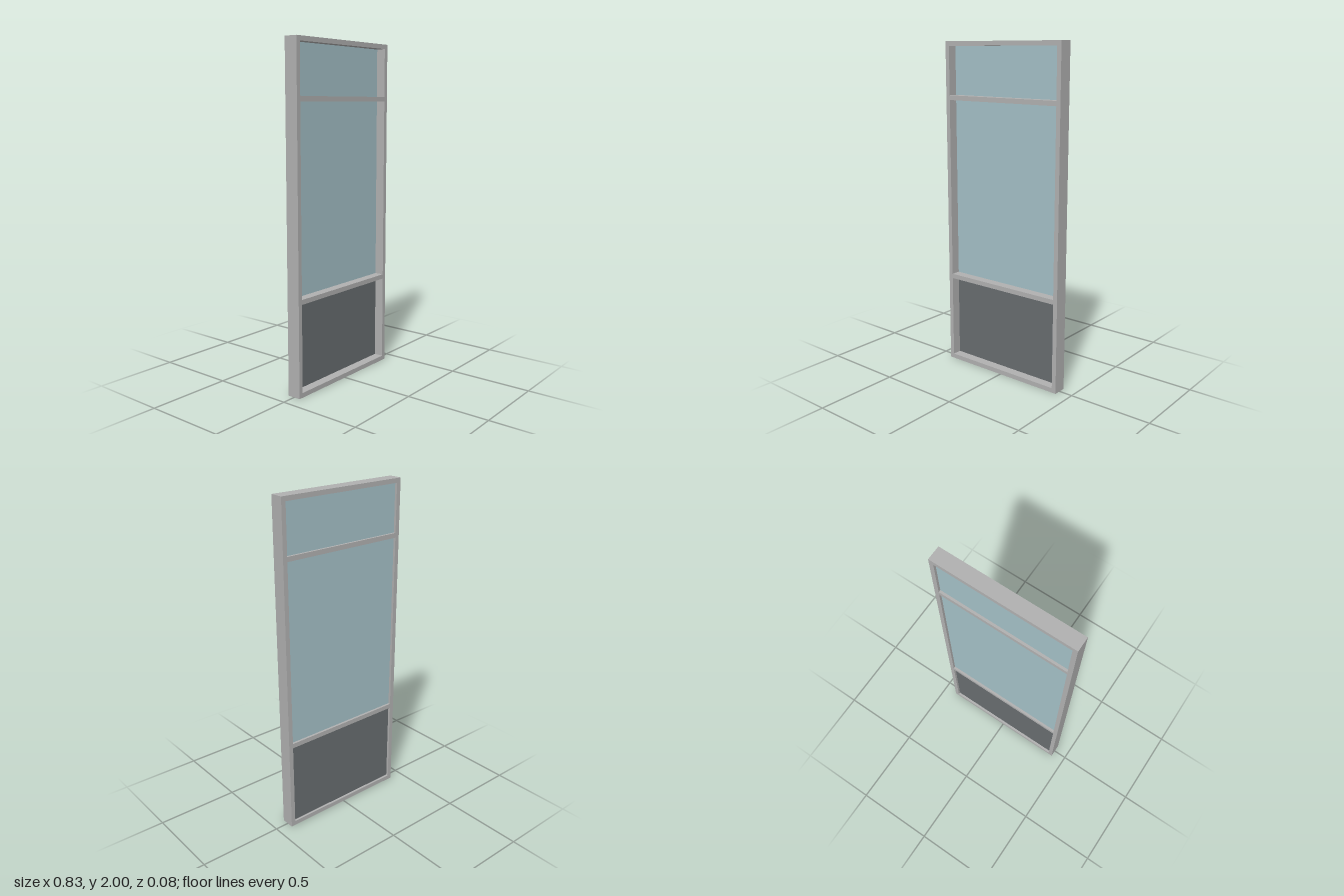
import * as THREE from 'three';

const W = 0.83, H = 2, D = 0.083;
const HALF_OPEN = 0.388;
const PANE_Z = -0.021, PANE_T = 0.012;

// Openings from bottom to top: [name, bottom, top, material key]
const OPENINGS = [
  ['lowerPanel', 0.028, 0.542, 'panel'],
  ['mainGlass', 0.57, 1.658, 'glass'],
  ['transomGlass', 1.686, 1.973, 'glass'],
];

function rectangle(target, x0, y0, x1, y1) {
  target.moveTo(x0, y0);
  target.lineTo(x1, y0);
  target.lineTo(x1, y1);
  target.lineTo(x0, y1);
  target.closePath();
  return target;
}

function flatMaterial(name, color) {
  const material = new THREE.MeshStandardMaterial({ color });
  material.name = name;
  return material;
}

export function createModel() {
  const group = new THREE.Group();
  group.name = 'windowUnit';
  const materials = {
    frame: flatMaterial('frameGrey', 0xb0b0b0),
    glass: flatMaterial('paleBlueGlass', 0xa3bfc6),
    panel: flatMaterial('darkGreyPanel', 0x676c6f),
  };

  // Frame with its two crossbars, cut from one outline
  const outline = rectangle(new THREE.Shape(), -W / 2, 0, W / 2, H);
  for (const [, bottom, top] of OPENINGS) {
    outline.holes.push(rectangle(new THREE.Path(), -HALF_OPEN, bottom, HALF_OPEN, top));
  }
  const frameGeometry = new THREE.ExtrudeGeometry(outline, { depth: D, bevelEnabled: false });
  frameGeometry.translate(0, 0, -D / 2);
  const frame = new THREE.Mesh(frameGeometry, materials.frame);
  frame.name = 'frame';
  group.add(frame);

  // Infill sheets, set close to the back of the frame
  for (const [name, bottom, top, key] of OPENINGS) {
    const sheet = new THREE.Mesh(
      new THREE.BoxGeometry(HALF_OPEN * 2, top - bottom, PANE_T),
      materials[key]
    );
    sheet.name = name;
    sheet.position.set(0, (bottom + top) / 2, PANE_Z);
    group.add(sheet);
  }
  return group;
}
